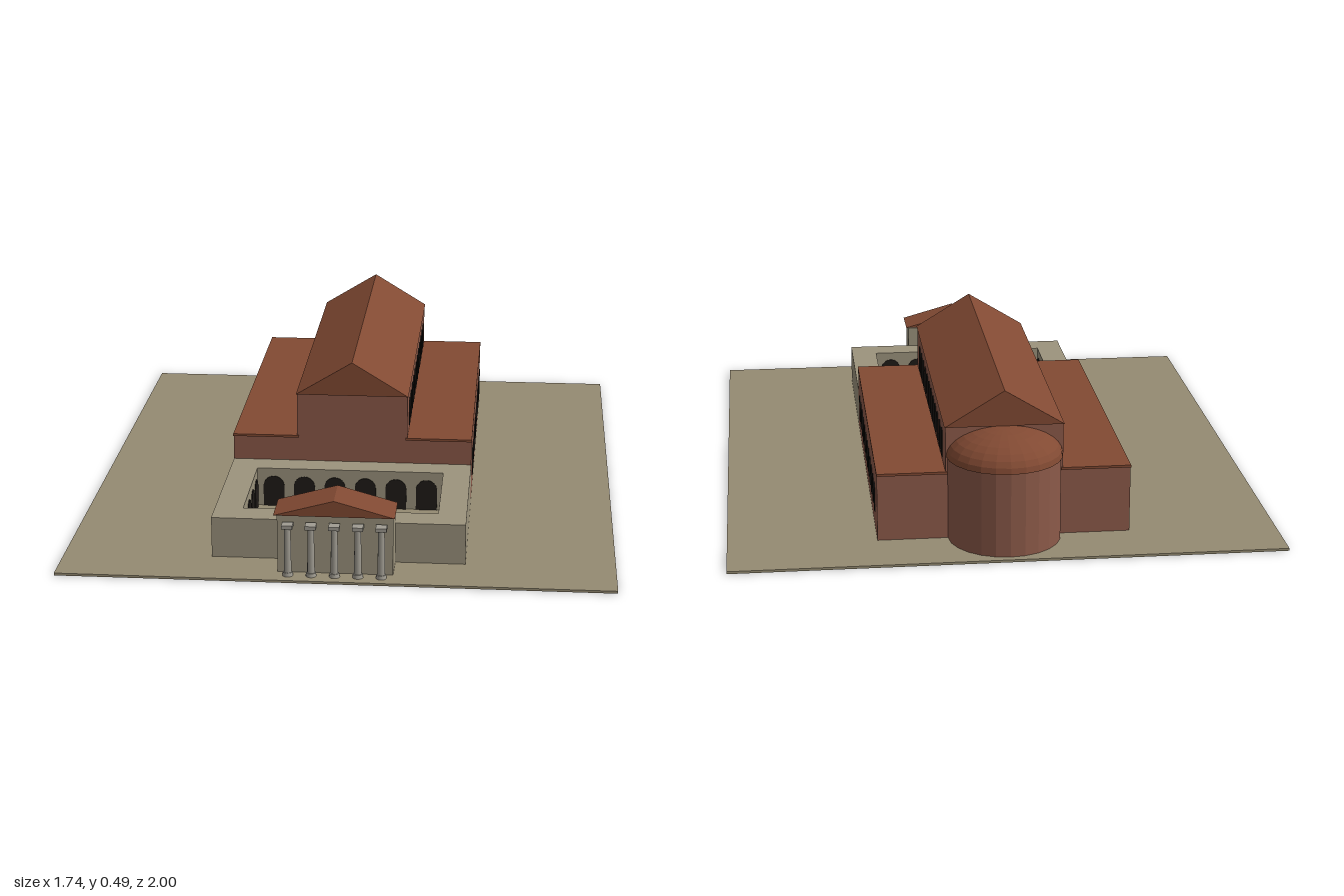
import * as THREE from 'three';

const mat = (color, flatShading = true) => new THREE.MeshStandardMaterial({ color, flatShading });
const ground = mat(0x958b72), stone = mat(0x9c937d), brick = mat(0x8c5a49);
const roof = mat(0x824a33), dark = mat(0x1f1b18), marble = mat(0xa09c92, false);

export function createModel() {
  const root = new THREE.Group();

  const add = (name, geo, material, x = 0, y = 0, z = 0, parent = root) => {
    const m = new THREE.Mesh(geo, material);
    m.name = name;
    m.position.set(x, y, z);
    parent.add(m);
    return m;
  };
  // Box given by its lower and upper limits
  const box = (name, material, x0, x1, y0, y1, z0, z1) =>
    add(name, new THREE.BoxGeometry(x1 - x0, y1 - y0, z1 - z0), material,
      (x0 + x1) / 2, (y0 + y1) / 2, (z0 + z1) / 2);
  // Triangular prism along z
  const gable = (name, half, y0, y1, z0, z1) => {
    const s = new THREE.Shape([[-half, 0], [half, 0], [0, y1 - y0]].map(p => new THREE.Vector2(...p)));
    add(name, new THREE.ExtrudeGeometry(s, { depth: z1 - z0, bevelEnabled: false }), roof, 0, y0, z0);
  };
  // Thin round-headed panel, base at y = 0, facing z
  const arch = (w, h) => {
    const r = w / 2, s = new THREE.Shape();
    s.moveTo(-r, 0);
    s.lineTo(r, 0);
    s.lineTo(r, h - r);
    s.absarc(0, h - r, r, 0, Math.PI, false);
    s.closePath();
    return new THREE.ExtrudeGeometry(s, { depth: 0.006, bevelEnabled: false, curveSegments: 8 })
      .translate(0, 0, -0.003);
  };

  // Ground slab
  box('ground', ground, -0.87, 0.87, 0, 0.008, -1, 1);

  // Nave and side aisles
  box('nave', brick, -0.185, 0.185, 0.004, 0.375, -0.8, 0.295);
  gable('naveRoof', 0.188, 0.375, 0.49, -0.804, 0.3);
  for (const s of [-1, 1]) {
    const [a, b] = [s * 0.18, s * 0.4].sort((p, q) => p - q);
    box('aisle', brick, a, b, 0.004, 0.222, -0.8, 0.295);
    box('aisleRoof', roof, a - 0.001, b + 0.001, 0.222, 0.23, -0.804, 0.3);
  }

  // Two rows of windows on each long side
  const upper = arch(0.04, 0.092), lower = arch(0.03, 0.095);
  for (const s of [-1, 1]) {
    for (let i = 0; i < 12; i++) {
      const z = 0.18 - i * 0.0786;
      add('upperWindow', upper, dark, s * 0.185, 0.243, z).rotation.y = Math.PI / 2;
      add('lowerWindow', lower, dark, s * 0.4, 0.065, z).rotation.y = Math.PI / 2;
    }
  }

  // Apse with flattened dome
  add('apse', new THREE.CylinderGeometry(0.178, 0.178, 0.276, 24), brick, 0, 0.142, -0.8);
  const dome = new THREE.SphereGeometry(0.183, 24, 8, 0, Math.PI * 2, 0, Math.PI / 2).scale(1, 0.52, 1);
  add('apseDome', dome, roof, 0, 0.28, -0.8);

  // Walled forecourt with an open middle
  const rect = (C, x, y0, y1) => {
    const p = new C();
    p.moveTo(-x, y0);
    p.lineTo(x, y0);
    p.lineTo(x, y1);
    p.lineTo(-x, y1);
    p.closePath();
    return p;
  };
  const court = rect(THREE.Shape, 0.4, -0.83, -0.295);
  court.holes.push(rect(THREE.Path, 0.31, -0.74, -0.38));
  add('forecourt', new THREE.ExtrudeGeometry(court, { depth: 0.136, bevelEnabled: false })
    .rotateX(-Math.PI / 2), stone, 0, 0.004, 0);

  // Arcade around the courtyard
  const bay = arch(0.07, 0.105);
  for (let i = 0; i < 6; i++)
    for (const z of [0.38, 0.74]) add('arcadeArch', bay, dark, (i - 2.5) * 0.102, 0.008, z);
  for (let i = 0; i < 4; i++)
    for (const x of [-0.31, 0.31])
      add('arcadeArch', bay, dark, x, 0.008, 0.56 + (i - 1.5) * 0.09).rotation.y = Math.PI / 2;

  // Entrance porch
  box('porch', stone, -0.18, 0.18, 0.004, 0.21, 0.825, 0.932);
  gable('porchRoof', 0.187, 0.21, 0.262, 0.832, 0.97);

  // Porch columns
  const shaft = new THREE.CylinderGeometry(0.01, 0.012, 0.16, 12);
  const block = new THREE.BoxGeometry(0.034, 0.012, 0.034);
  const base = new THREE.CylinderGeometry(0.015, 0.017, 0.012, 12);
  for (let i = -2; i <= 2; i++) {
    const column = new THREE.Group();
    column.name = 'column';
    column.position.set(i * 0.0725, 0, 0.957);
    add('columnBase', base, marble, 0, 0.014, 0, column);
    add('columnShaft', shaft, marble, 0, 0.09, 0, column);
    add('columnCapital', block, marble, 0, 0.172, 0, column);
    root.add(column);
  }

  return root;
}
